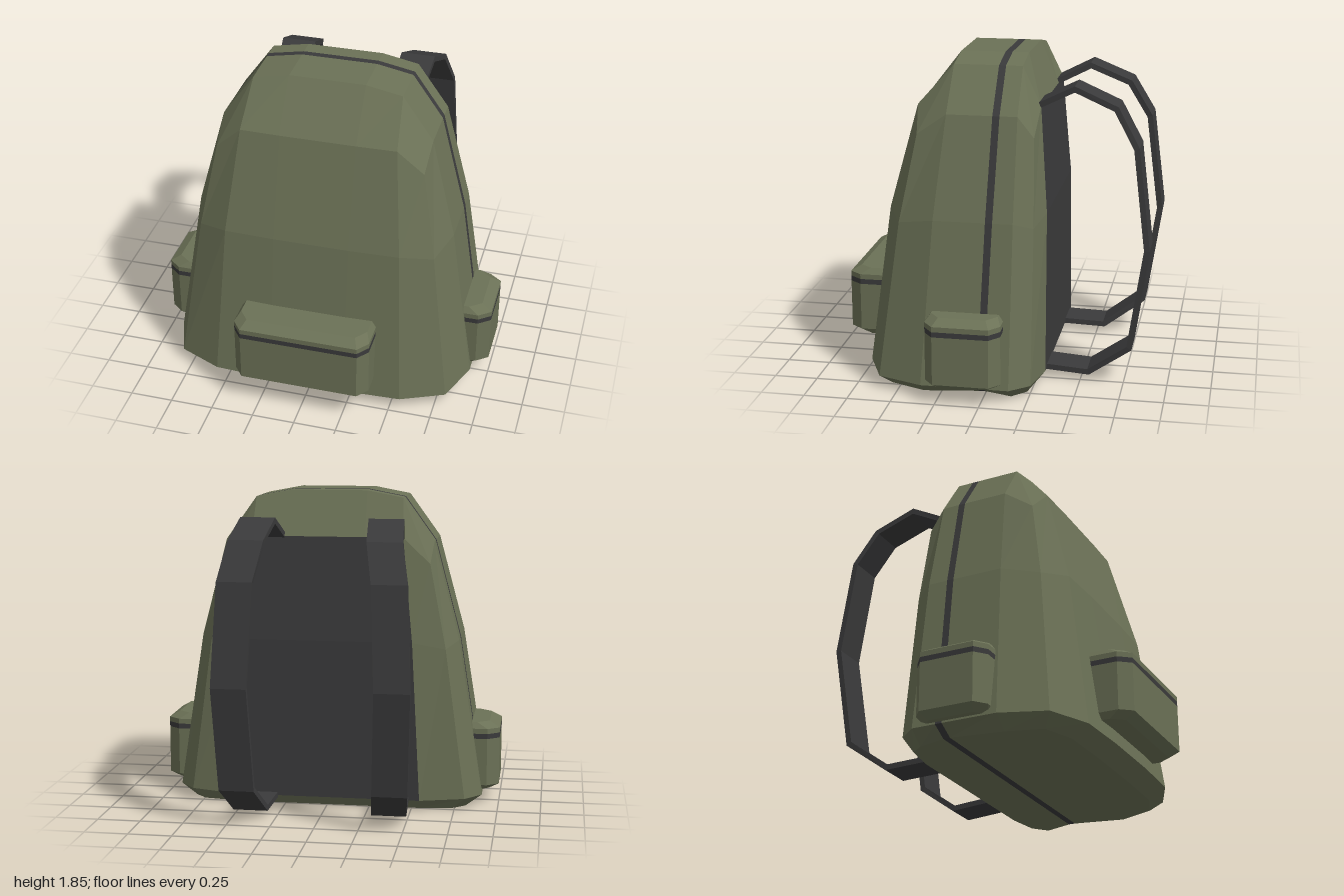
import * as THREE from 'three';

const green = new THREE.MeshStandardMaterial({ color: 0x6b7156 });
green.name = 'olive fabric';
const dark = new THREE.MeshStandardMaterial({ color: 0x3a3a3b });
dark.name = 'charcoal webbing';

// Flat-faceted skin from quads; each quad is [a, b, c, d, isDark]
function skin(name, quads) {
  const geo = new THREE.BufferGeometry();
  const pos = [];
  const tri = new THREE.Triangle();
  [false, true].forEach((wantDark, m) => {
    const start = pos.length / 3;
    for (const [a, b, c, d, isDark] of quads) {
      if (!!isDark !== wantDark) continue;
      for (const t of [[a, b, c], [a, c, d]]) {
        tri.set(...t.map((p) => new THREE.Vector3(...p)));
        if (tri.getArea() > 1e-7) pos.push(...t.flat());
      }
    }
    geo.addGroup(start, pos.length / 3 - start, m);
  });
  geo.setAttribute('position', new THREE.Float32BufferAttribute(pos, 3));
  geo.computeVertexNormals();
  const mesh = new THREE.Mesh(geo, [green, dark]);
  mesh.name = name;
  return mesh;
}

// Skin between stacked closed rings (counter-clockwise from above), capped by
// joining point j with its mirrored partner
function loft(name, rings, isDark, capDark = () => false) {
  const quads = [];
  const n = rings[0].length;
  for (let i = 0; i + 1 < rings.length; i++) {
    for (let j = 0; j < n; j++) {
      const k = (j + 1) % n;
      quads.push([rings[i][j], rings[i][k], rings[i + 1][k], rings[i + 1][j], isDark(i, j)]);
    }
  }
  const lo = rings[0], hi = rings[rings.length - 1];
  for (let j = 0; j + 1 < n / 2; j++) {
    const q = (r) => [r[j], r[j + 1], r[n - 2 - j], r[n - 1 - j]];
    quads.push([...q(hi), capDark(j)], [...q(lo).reverse(), capDark(j)]);
  }
  return skin(name, quads);
}

const mirrored = (half) => [...half, ...half.map(([x, y, z]) => [-x, y, z]).reverse()];

// Body ring: front, front corner, side front, zip, side back, back corner, back
function bodyRing(a, b, c, d, e, f, zipZ, zipY, bulge) {
  return mirrored([
    [0.22, a[1], a[2] + bulge], a, b, c,
    [c[0], zipY, zipZ + 0.02], [c[0], zipY, zipZ - 0.02],
    d, e, f, [0.22, f[1], f[2]],
  ]);
}

function makeBody() {
  const rings = [
    bodyRing([0.56, 0.012, 0.62], [0.74, 0.015, 0.55], [0.81, 0.01, 0.35],
      [0.81, 0.01, -0.15], [0.74, 0.015, -0.23], [0.55, 0.015, -0.26], 0.01, 0.03, 0.01),
    bodyRing([0.56, 0.08, 0.72], [0.81, 0.08, 0.61], [0.905, 0.08, 0.35],
      [0.905, 0.08, -0.15], [0.81, 0.08, -0.26], [0.55, 0.07, -0.305], 0.01, 0.08, 0.015),
    bodyRing([0.51, 1, 0.6], [0.69, 0.96, 0.51], [0.76, 1, 0.3],
      [0.76, 1, -0.15], [0.69, 0.96, -0.255], [0.5, 1, -0.3], -0.015, 1, 0.01),
    bodyRing([0.45, 1.59, 0.445], [0.6, 1.45, 0.42], [0.61, 1.57, 0.25],
      [0.61, 1.57, -0.15], [0.595, 1.45, -0.24], [0.44, 1.6, -0.255], -0.03, 1.57, 0.005),
  ];
  // Top shoulders and the flat crown
  for (const [x, y] of [[0.43, 1.82], [0.22, 1.86]]) {
    const f = [x, y, 0.24], b = [x, y, -0.15];
    const ring = bodyRing(f, f, f, b, b, b, -0.035, y, 0);
    for (const j of [0, 9, 10, 19]) ring[j][1] = 1.86;
    rings.push(ring);
  }
  const zip = (j) => j === 4 || j === 14;
  const backPanel = (i, j) => (i === 1 || i === 2) && j >= 8 && j <= 10;
  return loft('body', rings, (i, j) => zip(j) || backPanel(i, j), (j) => j === 4);
}

// Bevelled pocket with its back at z = 0 and a zip band near the top
function makePocket(name, w, h, d, zipY) {
  const ring = (y, side, front) => mirrored([
    [w - side - 0.055, y, d - front], [w - side, y, d - front - 0.07], [w - side, y, 0],
  ]);
  const rings = [
    ring(0, 0.025, 0.06), ring(0.035, 0, 0), ring(zipY - 0.015, 0, 0),
    ring(zipY + 0.015, 0, 0), ring(h - 0.035, 0, 0), ring(h, 0.025, 0.06),
  ];
  return loft(name, rings, (i) => i === 2);
}

// Shoulder strap: flat webbing swept along a polygonal loop
function makeStrap(name, side) {
  const path = [
    [0.345, 1.6, -0.235], [0.365, 1.705, -0.445], [0.385, 1.605, -0.68], [0.425, 1.395, -0.8],
    [0.45, 0.82, -0.87], [0.43, 0.23, -0.78], [0.4, 0.06, -0.545], [0.385, 0.075, -0.26],
  ].map((p) => new THREE.Vector3(...p));
  const rings = path.map((p, i) => {
    const unit = (a, b) => new THREE.Vector2(b.z - a.z, b.y - a.y).normalize();
    const before = unit(path[Math.max(i - 1, 0)], path[Math.max(i, 1)]);
    const after = unit(path[Math.min(i, 6)], path[Math.min(i + 1, 7)]);
    const t = before.clone().add(after).normalize();
    const off = 0.016 / t.dot(before);
    return [[1, 1], [1, -1], [-1, -1], [-1, 1]].map(([sx, s]) => [
      side * p.x + sx * 0.1, p.y + s * off * -t.x, p.z + s * off * t.y,
    ]);
  });
  const quads = [];
  for (let i = 0; i + 1 < rings.length; i++) {
    for (let j = 0; j < 4; j++) {
      const k = (j + 1) % 4;
      quads.push([rings[i][j], rings[i + 1][j], rings[i + 1][k], rings[i][k], true]);
    }
  }
  quads.push([...rings[0], true], [...rings[7]].reverse().concat([true]));
  // Orient every face outward from the centre of its own segment
  const v = (p) => new THREE.Vector3(...p);
  quads.forEach((q, n) => {
    const seg = n < 28 ? Math.floor(n / 4) : n === 28 ? 0 : 6;
    const mid = [...rings[seg], ...rings[seg + 1]]
      .reduce((s, p) => s.add(v(p)), new THREE.Vector3()).divideScalar(8);
    const normal = v(q[1]).sub(v(q[0])).cross(v(q[2]).sub(v(q[0])));
    const face = q.slice(0, 4).reduce((s, p) => s.add(v(p)), new THREE.Vector3()).divideScalar(4);
    if (normal.dot(face.sub(mid)) < 0) [q[1], q[3]] = [q[3], q[1]];
  });
  return skin(name, quads);
}

export function createModel() {
  const group = new THREE.Group();
  group.name = 'backpack';
  group.add(makeBody());

  const front = makePocket('frontPocket', 0.4, 0.41, 0.27, 0.33);
  front.position.set(0, 0.165, 0.625);
  group.add(front);

  for (const side of [1, -1]) {
    const label = side > 0 ? 'left' : 'right';
    const pocket = makePocket(label + 'Pocket', 0.213, 0.41, 0.18, 0.33);
    pocket.rotation.y = side * Math.PI / 2;
    pocket.position.set(side * 0.82, 0.092, 0.102);
    group.add(pocket, makeStrap(label + 'Strap', side));
  }
  return group;
}
